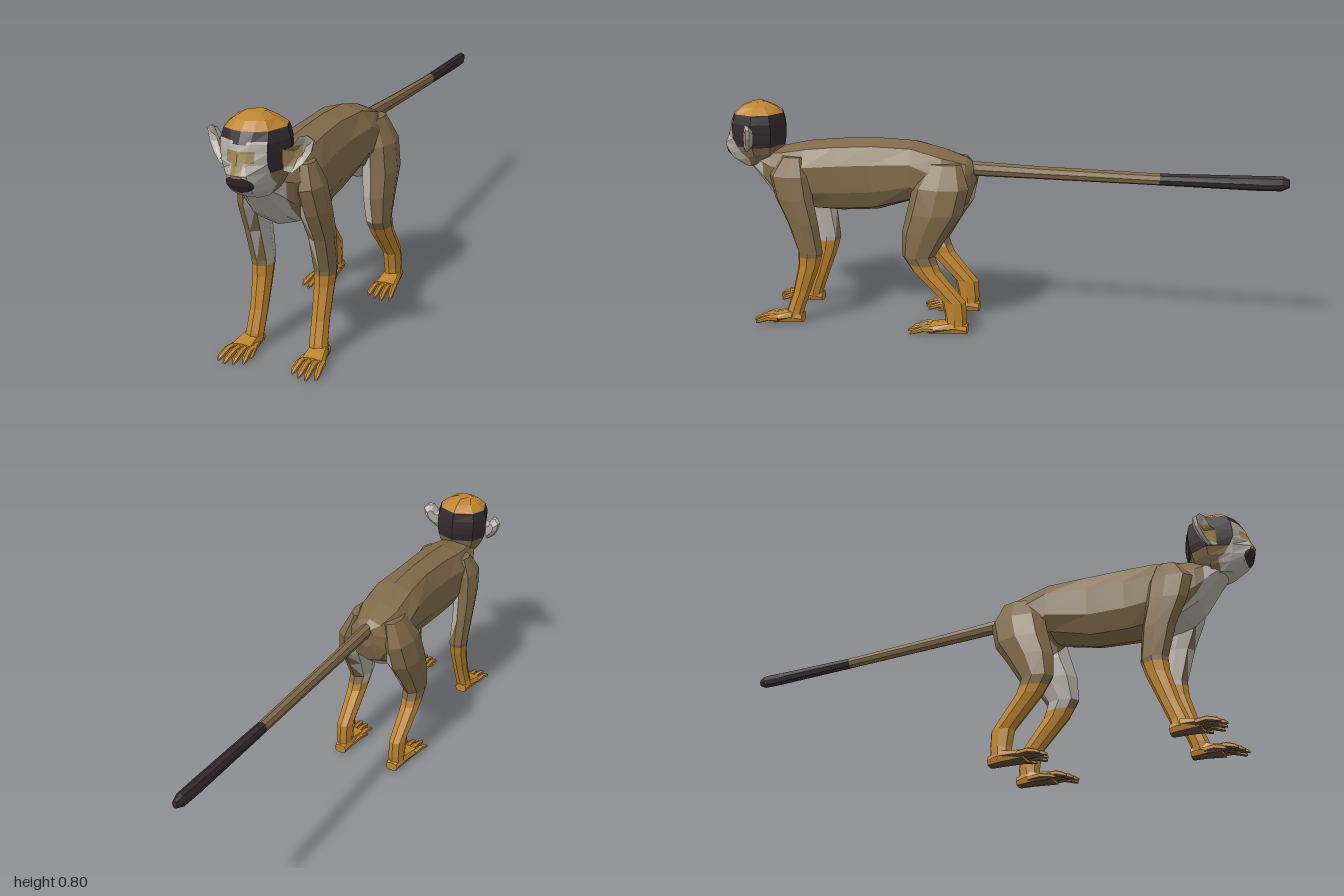
import * as THREE from 'three';

const V = (x, y, z) => new THREE.Vector3(x, y, z);
const flat = (name, color) => {
  const m = new THREE.MeshStandardMaterial({ color });
  m.name = name;
  return m;
};

// ring of points around a centre; 'y' rings lie level, 'z' rings stand upright
function ring(axis, [x, y, z], ra, rb, n = 8, e = 1) {
  return Array.from({ length: n }, (_, i) => {
    const a = (i / n) * Math.PI * 2;
    const p = (v) => Math.sign(v) * Math.abs(v) ** e;
    const s = p(Math.sin(a)) * ra, c = p(Math.cos(a)) * rb;
    return axis === 'y' ? V(x + s, y, z + c) : V(x + s, y + c, z);
  });
}

// joins rings into closed triangles that face outward
function loft(rings) {
  const tris = [];
  const n = rings[0].length;
  for (let r = 0; r < rings.length - 1; r++) {
    for (let i = 0; i < n; i++) {
      const j = (i + 1) % n, A = rings[r], B = rings[r + 1];
      tris.push([A[i], A[j], B[j]], [A[i], B[j], B[i]]);
    }
  }
  [rings[0], rings[rings.length - 1]].forEach((R, end) => {
    const c = R.reduce((s, p) => s.add(p), V(0, 0, 0)).divideScalar(n);
    for (let i = 0; i < n; i++) {
      const j = (i + 1) % n;
      tris.push(end ? [R[i], R[j], c] : [R[j], R[i], c]);
    }
  });
  let vol = 0;
  for (const [a, b, c] of tris) vol += a.dot(b.clone().cross(c));
  return vol < 0 ? tris.map(([a, b, c]) => [a, c, b]) : tris;
}

// splits triangles along colour borders and sorts them into material groups;
// rule(point, normal) gives the material, side -1 mirrors the part
function paint(name, tris, rule, side = 1, maxLevel = 5) {
  const bins = new Map();
  const add = (m, a, b, c) => {
    if (!bins.has(m)) bins.set(m, []);
    for (const p of side > 0 ? [a, b, c] : [a, c, b]) bins.get(m).push(p.x * side, p.y, p.z);
  };
  const split = (a, b, c, n, level) => {
    const mid = a.clone().add(b).add(c).divideScalar(3);
    const m = rule(mid, n);
    const same = [a, b, c].every((p) => rule(p, n) === m);
    if (level >= maxLevel || (same && level >= Math.min(2, maxLevel))) return add(m, a, b, c);
    const ab = a.clone().lerp(b, 0.5), bc = b.clone().lerp(c, 0.5), ca = c.clone().lerp(a, 0.5);
    split(a, ab, ca, n, level + 1);
    split(ab, b, bc, n, level + 1);
    split(ca, bc, c, n, level + 1);
    split(ab, bc, ca, n, level + 1);
  };
  for (const [a, b, c] of tris) {
    const n = b.clone().sub(a).cross(c.clone().sub(a)).normalize();
    split(a, b, c, n, 0);
  }
  const g = new THREE.BufferGeometry();
  const pos = [], mats = [];
  for (const [m, list] of bins) {
    g.addGroup(pos.length / 3, list.length / 3, mats.length);
    mats.push(m);
    for (const v of list) pos.push(v);
  }
  g.setAttribute('position', new THREE.Float32BufferAttribute(pos, 3));
  g.computeVertexNormals();
  const mesh = new THREE.Mesh(g, mats);
  mesh.name = name;
  return mesh;
}

export function createModel() {
  const model = new THREE.Group();
  model.name = 'monkey';
  const brown = flat('brown fur', 0x806a49);
  const orange = flat('orange fur', 0xbd842f);
  const black = flat('black fur', 0x342b2e);
  const grey = flat('pale grey fur', 0xb3ada5);
  const tan = flat('tan face', 0x9a8052);
  const sole = flat('dark sole', 0x5b4d39);

  // torso and neck: z, top, bottom, half width
  const torso = [
    [0.075, 0.6, 0.52, 0.03], [0.1, 0.62, 0.45, 0.075], [0.18, 0.65, 0.39, 0.108],
    [0.29, 0.675, 0.46, 0.105], [0.435, 0.68, 0.415, 0.09], [0.57, 0.672, 0.405, 0.095],
    [0.68, 0.66, 0.408, 0.108], [0.76, 0.642, 0.425, 0.1], [0.81, 0.632, 0.46, 0.085],
    [0.855, 0.63, 0.515, 0.066], [0.9, 0.62, 0.565, 0.045],
  ].map(([z, t, b, w]) => ring('z', [0, (t + b) / 2, z], w, (t - b) / 2, 10, 0.85));
  model.add(paint('torso', loft(torso), (p, n) => {
    const chest = p.z > 0.66 && Math.abs(p.x) < 0.07 && p.y < 0.59 && (n.y < -0.3 || n.z > 0.3);
    const groin = p.z < 0.28 && p.z > 0.12 && n.y < -0.5 && p.y < 0.46;
    return chest || groin ? grey : brown;
  }));

  // tail with black end
  const tail = [[0.12, 0.582, 0.022, 0.027], [-0.15, 0.577, 0.02, 0.023], [-0.57, 0.572, 0.018, 0.021],
    [-0.9, 0.574, 0.018, 0.026], [-0.975, 0.576, 0.016, 0.026], [-1, 0.577, 0.009, 0.014]]
    .map(([z, y, w, h]) => ring('z', [0, y, z], w, h, 8));
  model.add(paint('tail', loft(tail.slice(0, 3)), () => brown, 1, 0));
  model.add(paint('tailTip', loft(tail.slice(2)), () => black, 1, 0));

  // head: y, front z, muzzle half width, cheek half width, cheek z, half width, back z
  const head = [
    [0.565, 0.93, 0.03, 0.045, 0.9, 0.05, 0.82], [0.59, 0.97, 0.032, 0.056, 0.925, 0.07, 0.79],
    [0.615, 0.99, 0.036, 0.062, 0.935, 0.086, 0.78], [0.645, 1, 0.03, 0.067, 0.94, 0.098, 0.775],
    [0.67, 0.99, 0.022, 0.07, 0.945, 0.101, 0.77], [0.7, 0.98, 0.022, 0.072, 0.945, 0.102, 0.768],
    [0.725, 0.972, 0.03, 0.073, 0.942, 0.101, 0.77], [0.755, 0.957, 0.035, 0.068, 0.93, 0.092, 0.775],
    [0.78, 0.93, 0.03, 0.05, 0.91, 0.06, 0.8], [0.795, 0.895, 0.015, 0.025, 0.885, 0.03, 0.835],
  ].map(([y, f, mw, cw, cz, w, b]) => {
    const half = [[mw, f - 0.008], [cw, cz], [w, 0.862], [w * 0.75, b + 0.03]];
    return [V(0, y, f), ...half.map(([x, z]) => V(x, y, z)), V(0, y, b),
      ...half.reverse().map(([x, z]) => V(-x, y, z))];
  });
  model.add(paint('head', loft(head), (p) => {
    const x = Math.abs(p.x), { y, z } = p;
    if (y > 0.757) return orange;
    if (z > 0.9) {
      // muzzle, eye patch with nose bridge, pale mask
      if (z > 0.94 && (x / 0.042) ** 2 + ((y - 0.616) / 0.026) ** 2 < 1 && (y < 0.637 || x > 0.014)) return black;
      if (y < 0.707 && y > 0.637 && x < (y > 0.675 ? 0.042 : 0.016)) return tan;
      if (x < 0.07 && y < (x < 0.02 ? 0.724 : 0.732)) return grey;
    }
    if (y > 0.642) return black;
    return z > 0.89 && x < 0.07 ? grey : brown;
  }, 1, 6));

  // ears: cupped shells
  const outline = [[0.09, 0.7], [0.112, 0.706], [0.13, 0.735], [0.148, 0.737], [0.165, 0.722],
    [0.158, 0.69], [0.14, 0.66], [0.11, 0.632], [0.09, 0.64]];
  const earRing = (k, dz) => outline.map(([x, y]) => {
    const X = 0.122 + (x - 0.122) * k;
    return V(X, 0.688 + (y - 0.688) * k, 0.895 - (X - 0.09) * 0.55 + dz);
  });
  const ear = loft([earRing(0.5, -0.03), earRing(0.92, -0.014), earRing(1, 0), earRing(0.8, -0.004), earRing(0.35, -0.018)]);

  // limbs: x, y, z, half width, half depth
  const limb = (rows) => loft(rows.map(([x, y, z, w, d]) => ring('y', [x, y, z], w, d)));
  const arm = limb([
    [0.075, 0.615, 0.72, 0.025, 0.04], [0.09, 0.55, 0.73, 0.043, 0.075], [0.1, 0.47, 0.715, 0.042, 0.07],
    [0.106, 0.38, 0.685, 0.038, 0.057], [0.105, 0.27, 0.662, 0.036, 0.046], [0.104, 0.22, 0.67, 0.032, 0.04],
    [0.104, 0.12, 0.702, 0.029, 0.033], [0.107, 0.05, 0.728, 0.03, 0.032], [0.112, 0.02, 0.735, 0.032, 0.032],
  ]);
  const leg = limb([
    [0.065, 0.61, 0.17, 0.03, 0.06], [0.09, 0.53, 0.18, 0.05, 0.1], [0.1, 0.44, 0.2, 0.057, 0.1],
    [0.106, 0.37, 0.232, 0.051, 0.085], [0.114, 0.285, 0.258, 0.041, 0.06], [0.115, 0.23, 0.23, 0.036, 0.052],
    [0.113, 0.12, 0.132, 0.03, 0.044], [0.113, 0.06, 0.124, 0.029, 0.04], [0.114, 0.015, 0.125, 0.029, 0.036],
  ]);
  const limbRule = (p, n) => (p.y < 0.255 ? orange : n.x < -0.5 && p.y < 0.5 ? grey : brown);
  const pawRule = (p, n) => (n.y < -0.4 ? sole : orange);

  // hand or foot: palm, four digits and a thumb
  function paw(name, side, heel, knuckle, tip) {
    const g = new THREE.Group();
    g.name = name;
    const palm = [[heel, 0.024, 0.035, 0.112], [heel + 0.04, 0.031, 0.05, 0.113], [knuckle, 0.04, 0.034, 0.118]]
      .map(([z, w, h, x]) => ring('z', [x, h / 2, z], w, h / 2, 8, 0.7));
    g.add(paint(name + 'Palm', loft(palm), pawRule, side, 0));
    const digit = (label, x0, z0, x1, z1) => {
      const rows = [[0, 0.019, 0.011], [0.45, 0.021, 0.0105], [0.85, 0.011, 0.009], [1, 0.005, 0.004]]
        .map(([t, y, r]) => ring('z', [x0 + (x1 - x0) * t, y, z0 + (z1 - z0) * t], r, r, 6));
      g.add(paint(name + label, loft(rows), pawRule, side, 0));
    };
    for (let i = 0; i < 4; i++) {
      const k = i - 1.5;
      digit('Digit', 0.118 + k * 0.02, knuckle - 0.015, 0.121 + k * 0.027, tip - Math.abs(k - 0.3) * 0.014);
    }
    digit('Thumb', 0.092, heel + 0.045, 0.076, knuckle + 0.02);
    model.add(g);
  }

  for (const [side, word] of [[1, 'left'], [-1, 'right']]) {
    model.add(paint(word + 'Ear', ear, (p, n) =>
      (n.z > 0.2 && p.x < 0.132 && p.y > 0.65 && p.y < 0.708 && p.y > 0.62 + (p.x - 0.09) * 1.3 ? tan : grey), side, 4));
    model.add(paint(word + 'Arm', arm, limbRule, side));
    model.add(paint(word + 'Leg', leg, limbRule, side));
    paw(word + 'Hand', side, 0.7, 0.8, 0.882);
    paw(word + 'Foot', side, 0.083, 0.215, 0.3);
  }
  return model;
}
